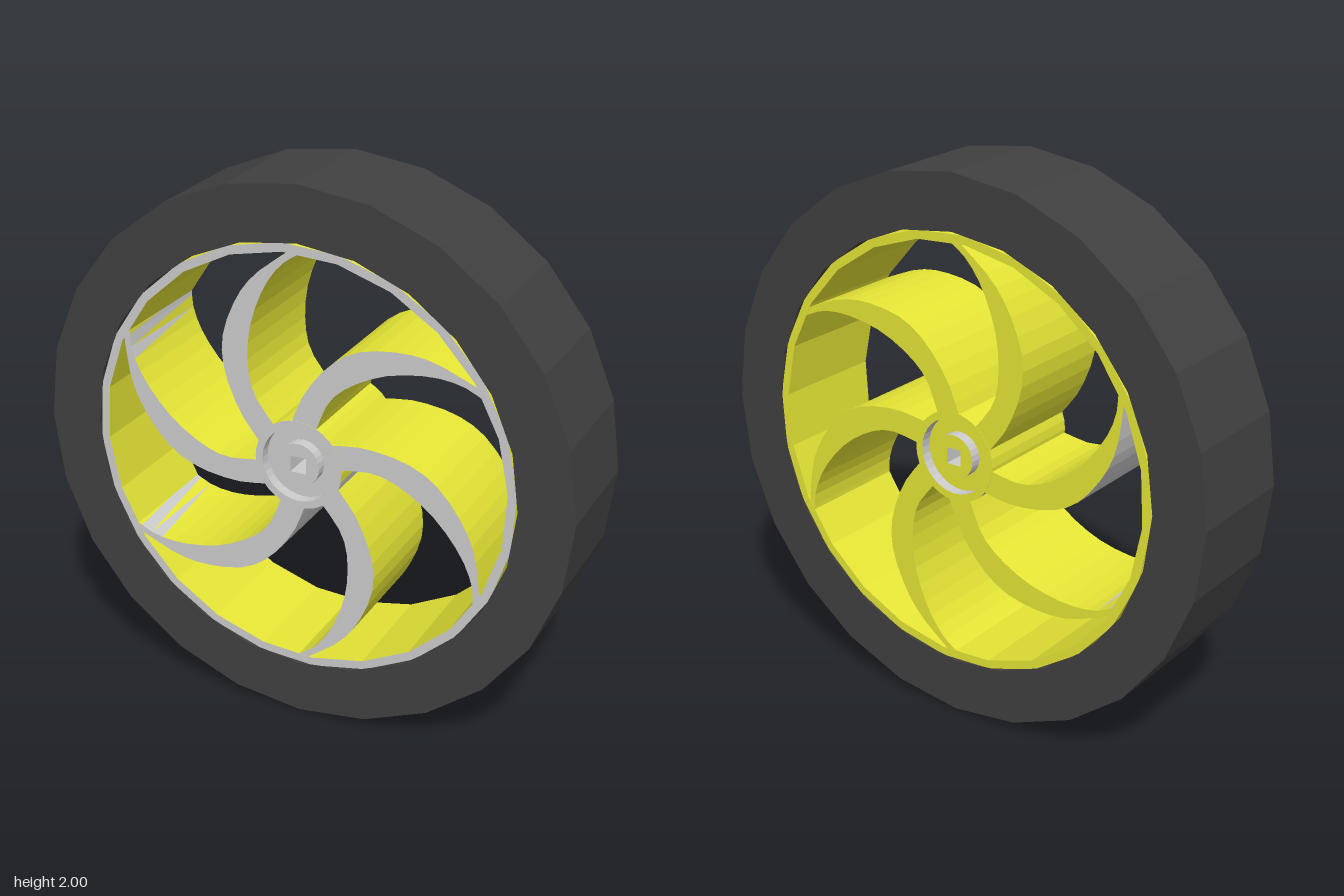
import * as THREE from 'three';

const HALF = 0.218;
const mat = (color) => new THREE.MeshStandardMaterial({ color, flatShading: true });
const grey = mat(0xcccccc), yellow = mat(0xe6e636), rubber = mat(0x404040);

// Regular polygon outline, counter-clockwise
function ngon(r, sides, turn = 0) {
  return Array.from({ length: sides }, (_, i) => {
    const a = turn + (i / sides) * Math.PI * 2;
    return new THREE.Vector2(r * Math.cos(a), r * Math.sin(a));
  });
}

// Straight extrusion centred on z = 0, with optional hole
function slab(outline, hole, half) {
  const shape = new THREE.Shape(outline);
  if (hole) shape.holes.push(new THREE.Path(hole));
  const g = new THREE.ExtrudeGeometry(shape, { depth: half * 2, bevelEnabled: false, curveSegments: 1 });
  return g.translate(0, 0, -half);
}

// Two-tone paint: isGrey(normal, centre) decides for each triangle
function twoTone(name, geo, isGrey) {
  const p = geo.attributes.position;
  const tri = new THREE.Triangle(), n = new THREE.Vector3(), c = new THREE.Vector3();
  geo.clearGroups();
  for (let i = 0; i < p.count; i += 3) {
    tri.setFromAttributeAndIndices(p, i, i + 1, i + 2);
    tri.getNormal(n);
    tri.getMidpoint(c);
    geo.addGroup(i, 3, n.z > 0.5 || isGrey(n, c) ? 0 : 1);
  }
  const mesh = new THREE.Mesh(geo, [grey, yellow]);
  mesh.name = name;
  return mesh;
}

// Smooth curve through a few points, sampled as a faceted edge
const edge = (pts) => new THREE.SplineCurve(pts.map(([x, y]) => new THREE.Vector2(x, y))).getPoints(14);

export function createModel() {
  const model = new THREE.Group();
  model.name = 'wheel';
  const wheel = new THREE.Group();
  wheel.name = 'wheelAssembly';
  wheel.position.y = 1;
  model.add(wheel);

  // Tire: 24-sided ring with flat walls
  const tire = new THREE.Mesh(slab(ngon(1, 24), ngon(0.8, 24), 0.22), rubber);
  tire.name = 'tire';
  wheel.add(tire);

  // Thin rim inside the tire
  wheel.add(twoTone('rim', slab(ngon(0.797, 24, 0.07), ngon(0.765, 24, 0.07), HALF), () => false));

  // Six curved blades, widest in the middle and pointed at the rim
  const convex = edge([[-0.15, 0.06], [-0.224, 0.159], [-0.28, 0.3], [-0.284, 0.43], [-0.23, 0.57], [-0.155, 0.67], [-0.03, 0.768]]);
  const concave = edge([[0.015, 0.768], [-0.06, 0.715], [-0.127, 0.62], [-0.178, 0.48], [-0.189, 0.34], [-0.165, 0.23], [-0.09, 0.13]]);
  const outline = [...convex, ...concave].reverse();
  const middle = new THREE.SplineCurve(convex);
  for (let i = 0; i < 6; i++) {
    const greyBack = i === 1 || i === 2;
    const spoke = twoTone(`spoke${i + 1}`, slab(outline, null, HALF - 0.001), (n, c) => {
      if (!greyBack || Math.abs(n.z) > 0.5) return false;
      // outer side of the bend only
      return middle.points.some((q) => Math.hypot(q.x - c.x, q.y - c.y) < 0.03);
    });
    spoke.rotation.z = (i * Math.PI) / 3;
    wheel.add(spoke);
  }

  // Hub: collar, recessed web and raised boss around a square axle hole
  const hub = new THREE.Group();
  hub.name = 'hub';
  const square = ngon(0.042, 4, Math.PI / 4);
  const lower = (n, c) => Math.abs(n.z) < 0.5 && (n.y < -0.1 || Math.hypot(c.x, c.y) < 0.15);
  hub.add(twoTone('hubCollar', slab(ngon(0.165, 32), ngon(0.138, 32), HALF), lower));
  hub.add(twoTone('hubWeb', slab(ngon(0.139, 32), square, HALF - 0.04), lower));
  hub.add(twoTone('hubBoss', slab(ngon(0.08, 24), square, HALF), lower));
  wheel.add(hub);

  return model;
}
